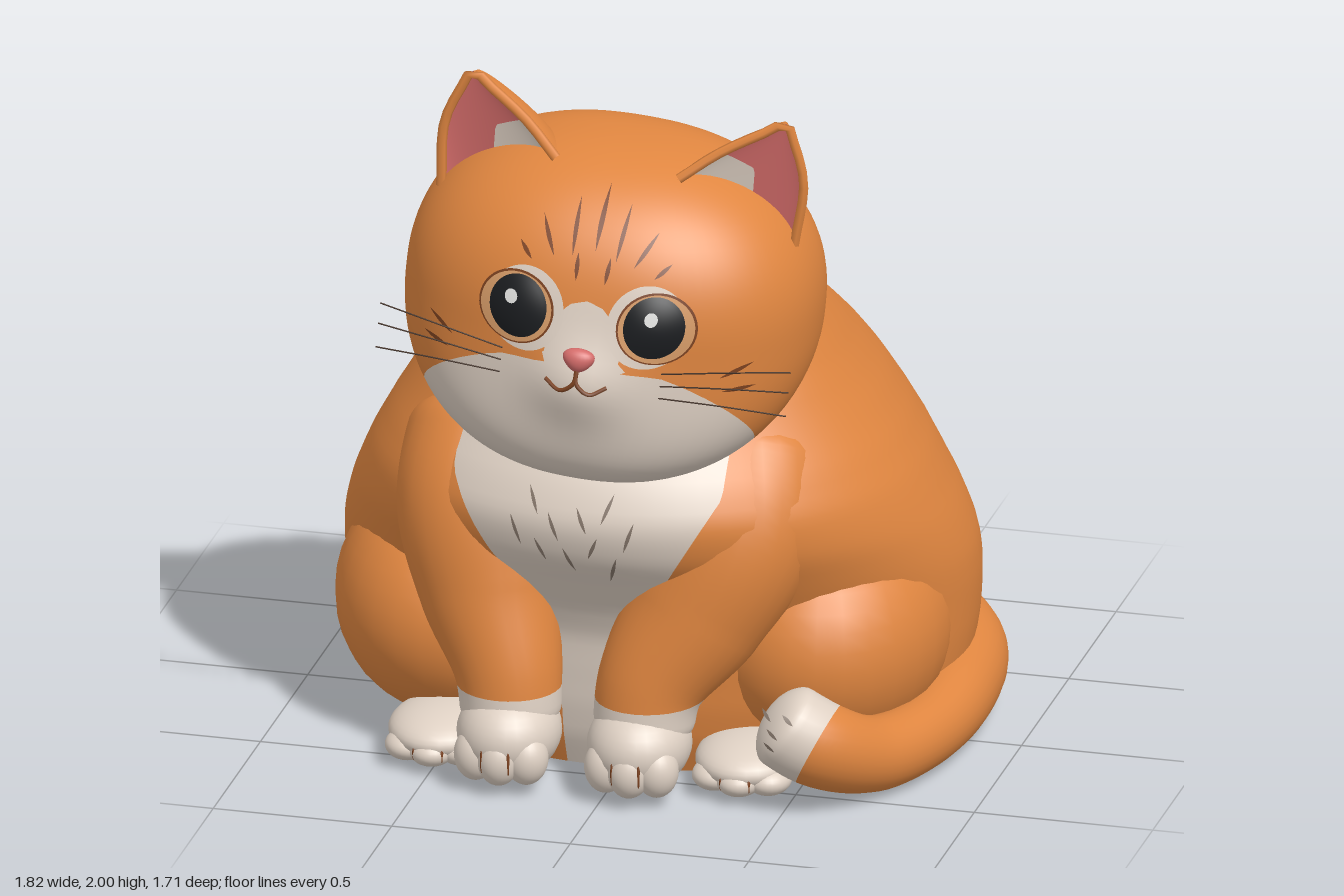
import * as THREE from 'three';
import { mergeVertices } from 'three/addons/utils/BufferGeometryUtils.js';

const mat = (name, color) => {
  const m = new THREE.MeshStandardMaterial({ color });
  m.name = name;
  return m;
};
const orange = mat('orange fur', 0xe08640);
const cream = mat('cream fur', 0xdfd1c4);
const pink = mat('pink skin', 0xd46c6a);
const black = mat('black eye', 0x1b1d20);
const white = mat('white glint', 0xf6f6f4);
const brown = mat('brown marking', 0x7c4220);
const peach = mat('peach eye ring', 0xd79c68);
const taupe = mat('taupe fur line', 0x85766a);
const dark = mat('dark whisker', 0x46352b);

const { sin, cos, PI, max, min, abs, sqrt } = Math;
const clamp = THREE.MathUtils.clamp;
const mesh = (name, geo, material) => {
  const m = new THREE.Mesh(geo, material);
  m.name = name;
  return m;
};

// Smooth sheet from a rule f(u, v) -> [x, y, z]; it faces du x dv
function grid(f, nu, nv) {
  const pos = [], idx = [], row = nu + 1;
  for (let j = 0; j <= nv; j++) for (let i = 0; i <= nu; i++) pos.push(...f(i / nu, j / nv));
  for (let j = 0; j < nv; j++) for (let i = 0; i < nu; i++) {
    const a = j * row + i;
    idx.push(a, a + 1, a + row, a + 1, a + row + 1, a + row);
  }
  let g = new THREE.BufferGeometry();
  g.setAttribute('position', new THREE.Float32BufferAttribute(pos, 3));
  g.setIndex(idx);
  g = mergeVertices(g, 1e-5);
  g.computeVertexNormals();
  return g;
}

// Cuts a sheet cleanly along f = 0: first material where f < 0, second where f > 0
function paint(name, geo, f, materials) {
  const p = geo.attributes.position, n = geo.attributes.normal, ix = geo.index.array;
  const out = [[], []];
  for (let k = 0; k < ix.length; k += 3) {
    const tri = [0, 1, 2].map(c => {
      const i = ix[k + c], x = p.getX(i), y = p.getY(i), z = p.getZ(i);
      return [x, y, z, n.getX(i), n.getY(i), n.getZ(i), f(x, y, z)];
    });
    [-1, 1].forEach((s, g) => {
      const poly = [];
      tri.forEach((a, c) => {
        const b = tri[(c + 1) % 3];
        if (s * a[6] > 0 || (a[6] === 0 && s > 0)) poly.push(a);
        if (a[6] * b[6] < 0) poly.push(a.map((q, e) => q + (b[e] - q) * a[6] / (a[6] - b[6])));
      });
      for (let c = 2; c < poly.length; c++) out[g].push(poly[0], poly[c - 1], poly[c]);
    });
  }
  const all = out.flat(), g = new THREE.BufferGeometry();
  g.setAttribute('position', new THREE.Float32BufferAttribute(all.flatMap(v => v.slice(0, 3)), 3));
  g.setAttribute('normal', new THREE.Float32BufferAttribute(all.flatMap(v => v.slice(3, 6)), 3));
  g.addGroup(0, out[0].length, 0);
  g.addGroup(out[0].length, out[1].length, 1);
  return mesh(name, g, materials);
}

// Round-ended limb through [x, y, z, radius] stations
function limb(stations, ref, end = 0.1, nv = 60) {
  const path = new THREE.CatmullRomCurve3(stations.map(s => new THREE.Vector3(...s)));
  const size = new THREE.CatmullRomCurve3(stations.map((s, i) => new THREE.Vector3(s[3], i, 0)));
  return grid((u, v) => {
    const t = (1 - cos(v * PI)) / 2, P = path.getPoint(t), T = path.getTangent(t);
    const N = new THREE.Vector3(...ref).cross(T).normalize(), B = T.clone().cross(N);
    const e = max(0, 1 - min(t, 1 - t) / end);
    const r = size.getPoint(t).x * sqrt(max(0, 1 - e * e)), a = u * 2 * PI;
    return P.addScaledVector(N, r * cos(a)).addScaledVector(B, r * sin(a)).toArray();
  }, 28, nv);
}

function ball(name, material, [x, y, z], [rx, ry, rz]) {
  const m = mesh(name, new THREE.SphereGeometry(1, 28, 20), material);
  m.position.set(x, y, z);
  m.scale.set(rx, ry, rz);
  return m;
}

// Body rings every 0.1 in height: half width, back z, front z
const rings = new THREE.CatmullRomCurve3([
  [.72, -.69, .43], [.82, -.77, .47], [.855, -.81, .49], [.87, -.835, .50], [.875, -.845, .51],
  [.87, -.85, .55], [.845, -.845, .62], [.805, -.83, .69], [.76, -.80, .715], [.705, -.745, .68],
  [.645, -.67, .61], [.585, -.57, .55], [.53, -.43, .48], [.47, -.275, .42], [.38, -.145, .32], [.2, -.05, .2],
].map(r => new THREE.Vector3(...r)));
const BODY_X = -.035, BODY_TOP = 1.5;
function bodyPoint(angle, y, k = 1) {
  const r = rings.getPoint(clamp(y / BODY_TOP, 0, 1)), mid = (r.y + r.z) / 2 + .05, c = cos(angle);
  return [BODY_X + k * r.x * sin(angle), y, mid + k * c * (c > 0 ? r.z - mid : mid - r.y)];
}
const bodyZ = (x, y) => {
  const r = rings.getPoint(y / BODY_TOP);
  return bodyPoint(Math.asin(clamp((x - BODY_X) / r.x, -1, 1)), y)[2];
};

// Head: a full, rounded-square ball with heavy jowls and a soft muzzle bump
const HX = .57, HZ = .47, HP = 2.3;
const halfHeight = y => (y < 0 ? .46 : .45);
const jowl = y => (y < 0 ? .9 * y * y : 0);
const muzzle = (x, y) => .06 * Math.exp(-((x / .14) ** 2) - (((y + .1) / .12) ** 2));
const headZ = (x, y) =>
  HZ * max(0, 1 - abs(x / HX) ** HP - abs(y / halfHeight(y)) ** HP) ** (1 / HP) + jowl(y) + muzzle(x, y);
function headPoint(u, v) {
  const a = u * 2 * PI, b = (v - .5) * PI;
  const d = [sin(a) * cos(b), sin(b), cos(a) * cos(b)];
  const k = d.reduce((s, q) => s + abs(q) ** HP, 0) ** (-1 / HP);
  const x = HX * d[0] * k, y = halfHeight(d[1]) * d[1] * k, front = clamp(d[2] * 4, 0, 1);
  return [x, y, d[2] * k * (d[2] > 0 ? HZ : .42) + jowl(y) + muzzle(x, y) * front];
}

// Painted details that hug a surface z(x, y)
const stroke = (surf, [ax, ay], [bx, by], w, lift = .006) => grid((u, v) => {
  const L = Math.hypot(bx - ax, by - ay), s = (u * 2 - 1) * w * sin(PI * v) / L;
  const x = ax + (bx - ax) * v + (by - ay) * s, y = ay + (by - ay) * v - (bx - ax) * s;
  return [x, y, surf(x, y) + lift];
}, 2, 8);
const disc = (surf, cx, cy, rx, ry, lift, dome = 0) => grid((u, v) => {
  const q = 1 - v, x = cx + rx * q * cos(u * 2 * PI), y = cy + ry * q * sin(u * 2 * PI);
  return [x, y, surf(x, y) + lift + dome * (1 - q * q)];
}, 40, 8);
const wire = (pts, r) => new THREE.TubeGeometry(
  new THREE.CatmullRomCurve3(pts.map(p => new THREE.Vector3(...p))), 16, r, 6);

// Thick cupped ear, turned a little outwards
function makeEar() {
  const ear = new THREE.Group(), inner = [.17, .414, .19], outer = [.49, .24, .1], tip = [.435, .592, .11];
  const rim = (s, t) => {
    const k = (s + 1) / 2, b = .04 * sin(PI * max(0, t)) * s;
    return tip.map((q, i) => (inner[i] + (outer[i] - inner[i]) * k) * (1 - t) + q * t + b * [.9, .3, 0][i]);
  };
  const sheet = (depth, power, flip) => grid((u, v) => {
    const s = (flip ? -1 : 1) * sin((u - .5) * PI), t = v * 1.25 - .25, p = rim(s, t);
    const d = depth * sqrt(max(0, 1 - s * s)) * (1 - t) ** power;
    return [p[0] - d * .1, p[1], p[2] - d];
  }, 28, 28);
  ear.add(mesh('earBack', sheet(.25, .55, true), orange));
  ear.add(paint('earInside', sheet(.06, .9, false),
    (x, y) => min(.13 - (y - .24) - .54 * (x - .49), .36 - x), [pink, cream]));
  ear.add(mesh('earRim', wire([rim(-1, 0), rim(-1, .5), rim(-1, .85), tip, rim(1, .85), rim(1, .5), rim(1, 0)], .014), orange));
  return ear;
}

function makeHead() {
  const head = new THREE.Group();
  head.name = 'head';
  const mask = (x, y, z) => max(
    z > -.1 ? -.05 - .3 * x * x - .75 * max(0, .45 - z) - y : -1,
    z > 0 ? .1 * (1 - (x / .1) ** 2 - (y / .13) ** 2) : -1);
  head.add(paint('skull', grid(headPoint, 80, 56), mask, [orange, cream]));
  for (const s of [-1, 1]) {
    const ear = makeEar();
    ear.name = s < 0 ? 'rightEar' : 'leftEar';
    ear.scale.x = s;
    head.add(ear);
    // Eyes
    const ex = s * .195, ey = .078;
    head.add(
      mesh('eyePatch', disc(headZ, ex - s * .025, ey, .11, .115, .003), cream),
      mesh('eyeOutline', disc(headZ, ex, ey, .108, .1, .006), brown),
      mesh('eyeRing', disc(headZ, ex, ey, .102, .095, .009), peach),
      mesh('pupil', disc(headZ, ex - s * .006, ey + .005, .082, .086, .011, .015), black),
      mesh('glint', disc(headZ, ex - .014, ey + .034, .018, .02, .028), white));
    // Whiskers, mouth and fur marks
    for (const [y0, y1] of [[-.05, .01], [-.085, -.05], [-.12, -.12]])
      head.add(mesh('whisker', wire([[s * .22, y0, headZ(.22, y0)], [s * .4, (y0 + y1) / 2 + .01, .46], [s * .57, y1, .43]], .002), dark));
    head.add(mesh('mouth', wire([[0, -.05], [.004, -.085], [.04, -.112], [.085, -.09]]
      .map(([x, y]) => [s * x, y, headZ(x, y) + .002]), .006), brown));
    for (const [a, b] of [[[.06, .24], [.07, .37]], [[.11, .23], [.16, .32]], [[.04, .18], [.045, .25]],
      [[.17, .21], [.21, .25]], [[.37, -.06], [.45, -.02]], [[.38, -.1], [.46, -.09]]])
      head.add(mesh('furMark', stroke(headZ, [s * a[0], a[1]], [s * b[0], b[1]], .006), brown));
  }
  head.add(mesh('furMark', stroke(headZ, [0, .26], [0, .4], .007), brown));
  // Nose, wide above and narrow below
  const nose = new THREE.SphereGeometry(1, 24, 16), np = nose.attributes.position;
  for (let i = 0; i < np.count; i++) np.setX(i, np.getX(i) * (1 + .35 * np.getY(i)));
  nose.computeVertexNormals();
  const noseMesh = mesh('nose', nose, pink);
  noseMesh.position.set(0, -.025, headZ(0, -.025) - .002);
  noseMesh.scale.set(.042, .034, .028);
  head.add(noseMesh);
  head.position.set(-.05, 1.37, .32);
  head.rotation.set(0, .06, -.1, 'ZYX');
  return head;
}

// Paw with soft toes and dark gaps between them
function makePaw(name, [x, y, z], [rx, ry, rz]) {
  const paw = new THREE.Group();
  paw.name = name;
  paw.add(ball('pad', cream, [x, y, z], [rx, ry, rz]));
  for (let i = -1; i <= 1; i++)
    paw.add(ball('toe', cream, [x + i * rx * .5, y - ry * .35, z + rz * (.68 - .15 * abs(i))], [rx * .42, ry * .6, rz * .38]));
  for (const s of [-1, 1])
    paw.add(ball('toeGap', brown, [x + s * rx * .26, y - ry * .3, z + rz * .92], [.005, ry * .3, .01]));
  return paw;
}

export function createModel() {
  const cat = new THREE.Group();
  cat.name = 'sittingCat';

  // Body with a pale bib and flat underside
  const bib = (x, y, z) => min(clamp(y * .6 - .15, .1, .38) - abs(x + .06), z - .1);
  cat.add(paint('body', grid((u, v) => bodyPoint(u * 2 * PI, v * BODY_TOP), 72, 60), bib, [orange, cream]));
  cat.add(mesh('underside', grid((u, v) => bodyPoint(u * 2 * PI, 0, v), 48, 4), cream));
  [[-.2, .9], [-.14, .84], [-.25, .82], [-.06, .86], [.04, .9], [.1, .83], [.0, .78], [-.1, .74], [.05, .72], [-.18, .76]]
    .forEach(([x, y], i) => cat.add(mesh('bibTuft', stroke(bodyZ, [x, y], [x + (x < -.05 ? .03 : -.03), y - .07 - .01 * (i % 3)], .005), taupe)));

  // Haunches and hind feet
  cat.add(ball('rightHaunch', orange, [-.55, .345, .08], [.335, .345, .42]));
  cat.add(ball('leftHaunch', orange, [.48, .345, .08], [.335, .345, .42]));
  cat.add(makePaw('rightHindFoot', [-.5, .08, .44], [.15, .07, .19]));
  cat.add(makePaw('leftHindFoot', [.36, .08, .44], [.15, .07, .19]));

  // Front legs with pale socks
  const legs = {
    right: [[-.40, .98, .22, .22], [-.41, .74, .38, .235], [-.36, .5, .465, .2], [-.295, .3, .54, .148], [-.28, .12, .56, .135]],
    left: [[.30, .98, .22, .22], [.31, .74, .38, .235], [.21, .5, .465, .2], [.105, .3, .54, .148], [.085, .12, .56, .135]],
  };
  for (const side in legs) {
    cat.add(paint(side + 'FrontLeg', limb(legs[side], [0, 0, 1], .12), (x, y) => .265 - y, [orange, cream]));
    cat.add(makePaw(side + 'FrontPaw', [legs[side][4][0], .145, .585], [.142, .125, .165]));
  }

  // Tail wrapping round the left side, with a pale tip
  const tail = [[.1, .13, -.66, .12], [.5, .13, -.62, .125], [.73, .127, -.36, .127], [.795, .115, -.05, .115],
    [.775, .1, .22, .1], [.69, .115, .44, .105], [.58, .19, .58, .12], [.455, .28, .625, .12]];
  cat.add(paint('tail', limb(tail, [0, 1, 0], .06, 90),
    (x, y, z) => z > .3 ? .61 - x + (y - .24) * .5 : -1, [orange, cream]));
  const tipZ = (x, y) => .61 + sqrt(max(0, .0146 - (x - .5) ** 2 - (y - .26) ** 2));
  for (const [x, y] of [[.49, .3], [.51, .25], [.55, .29], [.5, .21]])
    cat.add(mesh('tailTuft', stroke(tipZ, [x, y], [x - .03, y + .03], .005), taupe));

  cat.add(makeHead());
  return cat;
}
